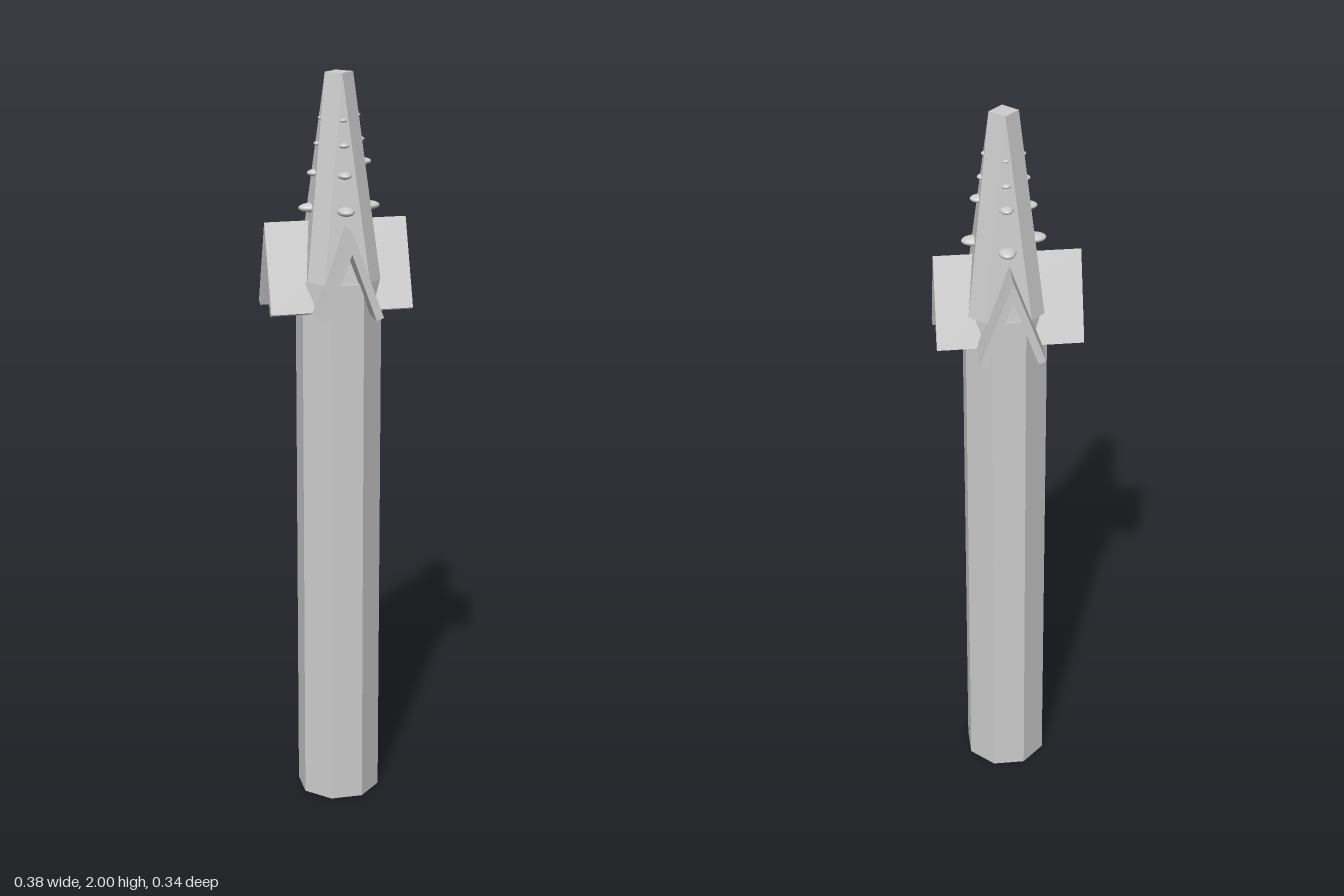
import * as THREE from 'three';

const CENTRE = 0.005; // the column sits slightly off the model's centre
const SHAFT_TOP = 1.47;

const flat = () => new THREE.MeshStandardMaterial({ color: 0xcccccc, flatShading: true });
const smooth = () => new THREE.MeshStandardMaterial({ color: 0xcccccc });

function add(parent, name, geometry, material) {
  const mesh = new THREE.Mesh(geometry, material);
  mesh.name = name;
  parent.add(mesh);
  return mesh;
}

// Octagonal base narrowing to a small diamond: four constant-width
// diagonal strips with a tall triangle between each pair
function spireGeometry(y0, y1) {
  const pos = [];
  const tri = (...points) => points.forEach(p => pos.push(...p));
  const spin = (x, y, z, k) => {
    for (let i = 0; i < k; i++) [x, z] = [z, -x];
    return [x, y, z];
  };
  for (let k = 0; k < 4; k++) {
    const a = spin(-0.06, y0, 0.097, k);
    const b = spin(0.06, y0, 0.097, k);
    const c = spin(0.097, y0, 0.06, k);
    const top = spin(0, y1, 0.037, k);
    const next = spin(0.037, y1, 0, k);
    tri(a, b, top);
    tri(b, c, next);
    tri(b, next, top);
    tri(top, next, [0, y1, 0]);
    tri(b, a, [0, y0, 0]);
    tri(c, b, [0, y0, 0]);
  }
  const g = new THREE.BufferGeometry();
  g.setAttribute('position', new THREE.Float32BufferAttribute(pos, 3));
  g.computeVertexNormals();
  return g;
}

// Open tent of two leaning slabs, running along z
function gableGeometry(length) {
  const outline = [
    [0, 1.62], [-0.084, 1.394], [-0.065, 1.386],
    [0, 1.563], [0.065, 1.386], [0.084, 1.394],
  ].map(p => new THREE.Vector2(...p));
  const g = new THREE.ExtrudeGeometry(new THREE.Shape(outline), { depth: length, bevelEnabled: false });
  return g.translate(0, 0, -length / 2);
}

export function createModel() {
  const model = new THREE.Group();
  model.name = 'pinnacle';

  // Octagonal shaft with flats facing the four sides
  const shaft = new THREE.CylinderGeometry(0.1137, 0.1137, SHAFT_TOP, 8);
  shaft.rotateY(Math.PI / 8).translate(CENTRE, SHAFT_TOP / 2, CENTRE);
  add(model, 'shaft', shaft, flat());

  // Tapering spire
  const spire = add(model, 'spire', spireGeometry(SHAFT_TOP, 2), flat());
  spire.position.set(0.007, 0, 0.002);

  // Crossing gables
  const frontGable = add(model, 'frontBackGable', gableGeometry(0.339), flat());
  frontGable.position.set(0.003, 0, -0.001);
  const sideGable = add(model, 'sideGable', gableGeometry(0.377), flat());
  sideGable.rotation.y = Math.PI / 2;
  sideGable.position.set(-0.001, 0, -0.003);

  // Rows of knobs climbing each face of the spire: front, left, back, right
  const rows = [
    [1.655, 1.745, 1.82, 1.883],
    [1.655, 1.77, 1.828, 1.89],
    [1.655, 1.765, 1.825, 1.888],
    [1.655, 1.745, 1.82, 1.885],
  ];
  const reach = [0.108, 0.085, 0.067, 0.056]; // how far each knob sticks out
  const width = [0.023, 0.019, 0.015, 0.012];
  const material = smooth();
  rows.forEach((heights, side) => {
    const row = new THREE.Group();
    row.name = 'knobRow';
    row.rotation.y = side * Math.PI / 2;
    row.position.set(0.007, 0, 0.004);
    heights.forEach((y, i) => {
      const w = width[i];
      const knob = add(row, 'knob', new THREE.SphereGeometry(1, 20, 12), material);
      knob.scale.set(w, w * 0.52, w * 1.5);
      knob.position.set(0, y, reach[i] - w * 1.5);
    });
    model.add(row);
  });

  return model;
}
